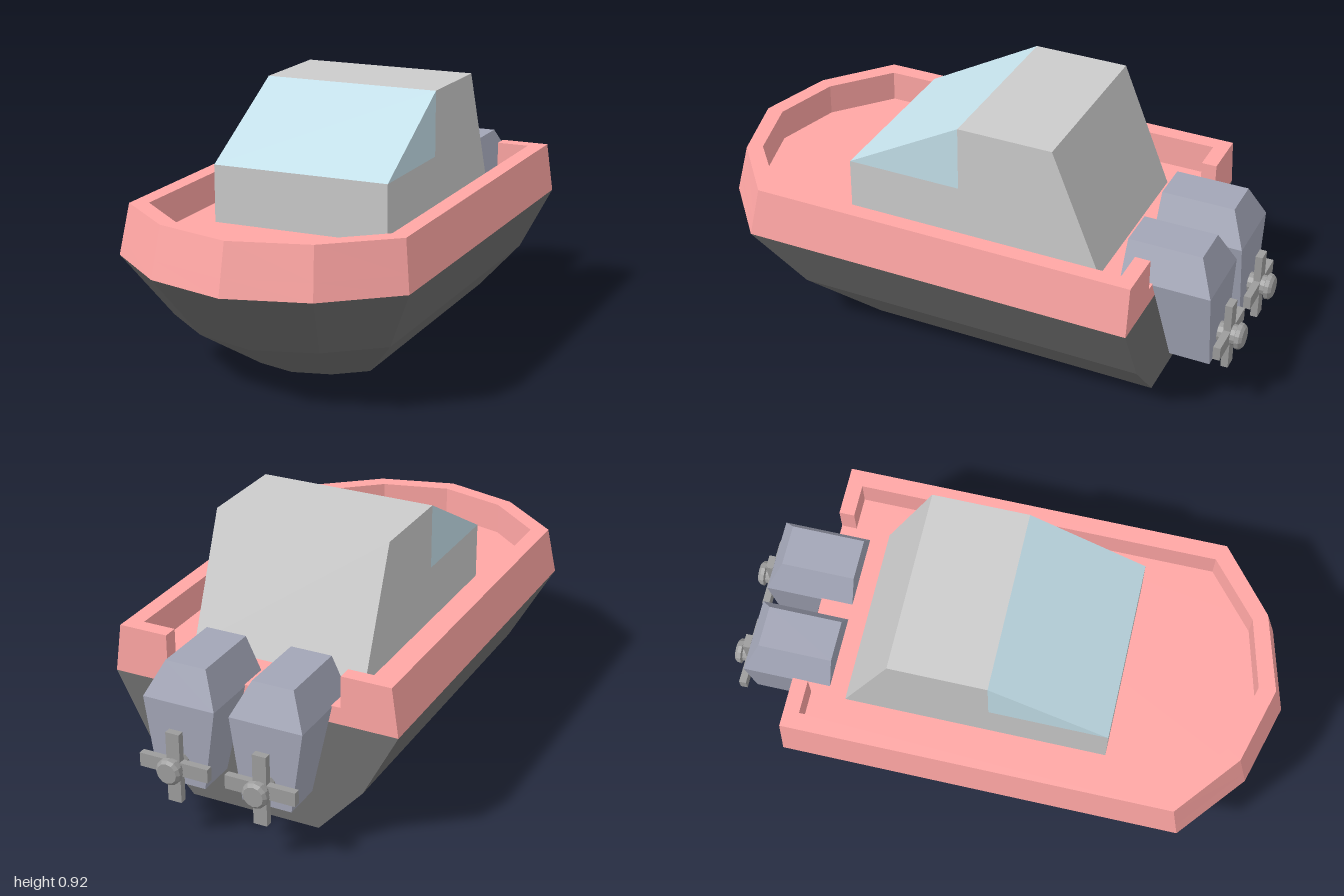
import * as THREE from 'three';

const mat = (color) => new THREE.MeshStandardMaterial({ color, flatShading: true });
const STERN = -0.705;

// Closed solid through rings of [x, z] points stacked at the given heights.
function loft(levels) {
  const pos = [];
  const put = (ring, i) => pos.push(ring.pts[i][0], ring.y, ring.pts[i][1]);
  const n = levels[0].pts.length;
  for (let k = 0; k < levels.length - 1; k++) {
    const lo = levels[k], hi = levels[k + 1];
    for (let i = 0; i < n; i++) {
      const j = (i + 1) % n;
      put(lo, i); put(hi, i); put(hi, j);
      put(lo, i); put(hi, j); put(lo, j);
    }
  }
  const cap = (ring, up) => {
    const contour = ring.pts.map(([x, z]) => new THREE.Vector2(x, z));
    for (const [a, b, c] of THREE.ShapeUtils.triangulateShape(contour, [])) {
      for (const i of up ? [a, c, b] : [a, b, c]) put(ring, i);
    }
  };
  cap(levels[0], false);
  cap(levels[levels.length - 1], true);
  const geo = new THREE.BufferGeometry();
  geo.setAttribute('position', new THREE.Float32BufferAttribute(pos, 3));
  geo.computeVertexNormals();
  return geo;
}

// Boat outline: straight sides and a four-facet bow.
const outline = (w, zSide, xMid, zMid, zTip) => [
  [w, STERN], [w, zSide], [xMid, zMid], [0, zTip],
  [-xMid, zMid], [-w, zSide], [-w, STERN],
];

// Solid with the given [z, y] side profile, centred across x.
function sideExtrude(profile, width) {
  const shape = new THREE.Shape(profile.map(([z, y]) => new THREE.Vector2(z, y)));
  const geo = new THREE.ExtrudeGeometry(shape, { depth: width, bevelEnabled: false });
  geo.translate(0, 0, -width / 2);
  geo.rotateY(-Math.PI / 2);
  return geo;
}

function createMotor(bodyMat, propMat) {
  const motor = new THREE.Group();
  const rect = (w, back, front) => [[w, back], [w, front], [-w, front], [-w, back]];

  // Casing: tapered leg below, chamfered cowl above
  const casing = new THREE.Mesh(loft([
    { y: 0.18, pts: rect(0.09, -0.91, -0.765) },
    { y: 0.475, pts: rect(0.133, -0.91, -0.705) },
    { y: 0.475, pts: rect(0.133, -0.91, -0.59) },
    { y: 0.595, pts: rect(0.075, -0.855, -0.59) },
  ]), bodyMat);
  casing.name = 'motorCasing';
  motor.add(casing);

  // Propeller: turned hub and four blades
  const propeller = new THREE.Group();
  propeller.name = 'propeller';
  propeller.position.set(0, 0.262, -0.9);
  const hubProfile = [[0, 0], [0.036, 0], [0.036, 0.072], [0.048, 0.076], [0.046, 0.09], [0.036, 0.1], [0, 0.1]]
    .map(([r, h]) => new THREE.Vector2(r, h));
  const hub = new THREE.Mesh(new THREE.LatheGeometry(hubProfile, 12), propMat);
  hub.name = 'propellerHub';
  hub.rotation.x = -Math.PI / 2;
  propeller.add(hub);
  for (let i = 0; i < 4; i++) {
    const geo = new THREE.BoxGeometry(0.05, 0.108, 0.026);
    geo.translate(0, 0.074, -0.043);
    const blade = new THREE.Mesh(geo, propMat);
    blade.name = 'propellerBlade';
    blade.rotation.z = i * Math.PI / 2;
    propeller.add(blade);
  }
  motor.add(propeller);
  return motor;
}

export function createModel() {
  const boat = new THREE.Group();
  boat.name = 'motorBoat';
  const add = (name, geo, material) => {
    const mesh = new THREE.Mesh(geo, material);
    mesh.name = name;
    boat.add(mesh);
  };
  const dark = mat(0x6e6e6e), pink = mat(0xffa6a4), grey = mat(0xcccccc);
  const glass = mat(0xc4e0ea), motorMat = mat(0xa2a5b6), propMat = mat(0x9c9c9c);

  // Lower hull
  const beam = outline(0.53, 0.72, 0.29, 0.92, 1.0);
  add('hull', loft([
    { y: 0, pts: outline(0.242, 0.37, 0.135, 0.455, 0.49) },
    { y: 0.18, pts: outline(0.405, 0.58, 0.22, 0.73, 0.795) },
    { y: 0.418, pts: beam },
  ]), dark);

  // Deck slab, following the inward slope of the sides
  const rimTop = outline(0.505, 0.69, 0.275, 0.88, 0.957);
  const deckY = 0.48;
  const t = (deckY - 0.418) / (0.595 - 0.418);
  const deckRing = beam.map(([x, z], i) => [
    THREE.MathUtils.lerp(x, rimTop[i][0], t),
    THREE.MathUtils.lerp(z, rimTop[i][1], t),
  ]);
  add('deck', loft([{ y: 0.418, pts: beam }, { y: deckY, pts: deckRing }]), pink);

  // Raised rim, open at the stern for the motors
  const inner = [
    [-0.325, STERN], [-0.325, -0.65], [-0.445, -0.65], [-0.445, 0.66], [-0.245, 0.83], [0, 0.895],
    [0.245, 0.83], [0.445, 0.66], [0.445, -0.65], [0.325, -0.65], [0.325, STERN],
  ];
  add('rim', loft([
    { y: deckY, pts: [...deckRing, ...inner] },
    { y: 0.595, pts: [...rimTop, ...inner] },
  ]), pink);

  // Cabin with wedge-shaped windshield
  add('cabin', sideExtrude([
    [0.42, deckY], [0.42, 0.685], [0, 0.685], [0, 0.92], [-0.345, 0.92], [-0.525, deckY],
  ], 0.65), grey);
  add('windshield', sideExtrude([[0, 0.685], [0.42, 0.685], [0, 0.92]], 0.65), glass);

  // Twin outboard motors
  for (const side of [1, -1]) {
    const motor = createMotor(motorMat, propMat);
    motor.name = side > 0 ? 'leftMotor' : 'rightMotor';
    motor.position.x = side * 0.16;
    boat.add(motor);
  }
  return boat;
}
